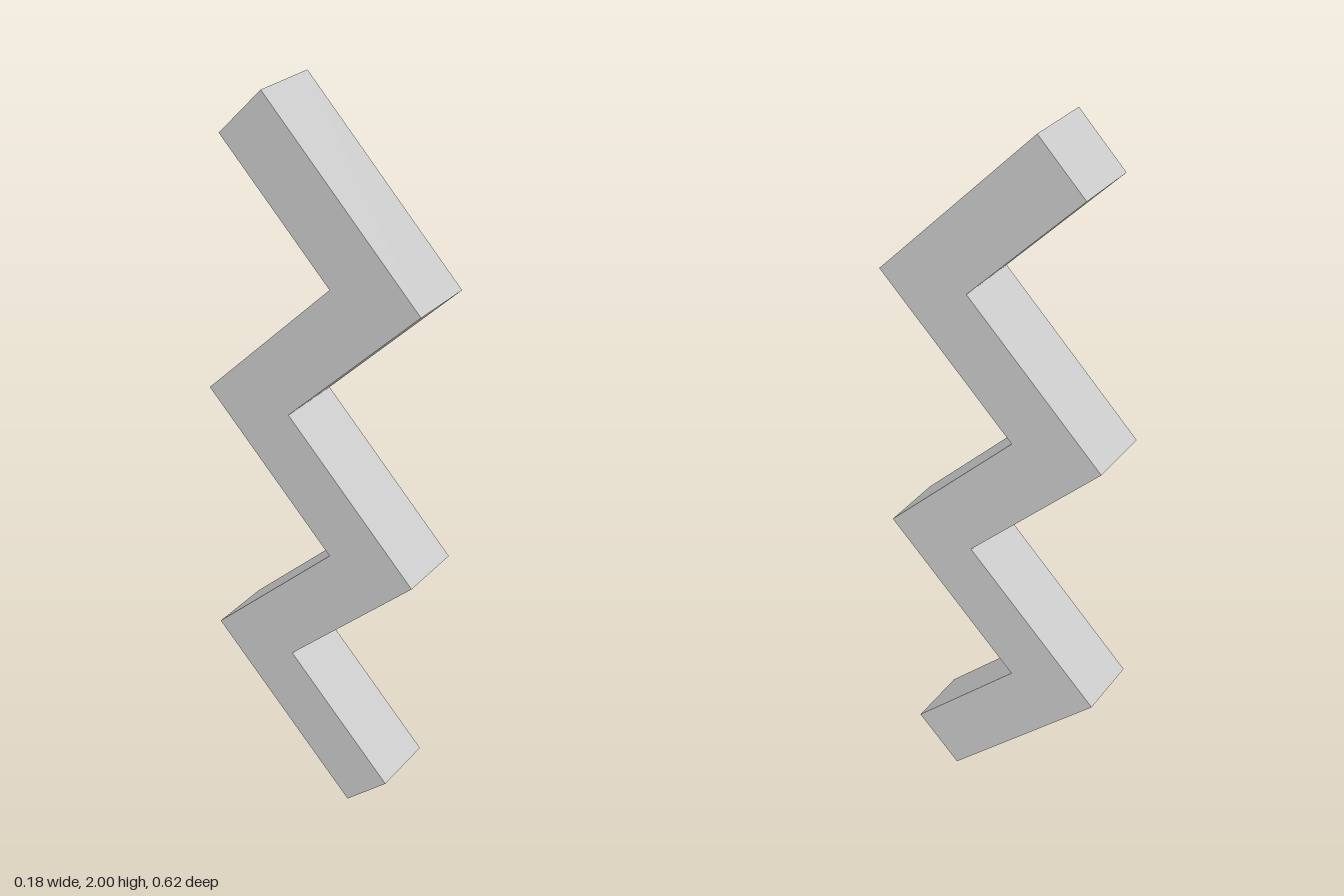
import * as THREE from 'three';

// Zigzag bar of square section, laid out on a 1/16 unit lattice.
const U = 1 / 16;
const WIDTH = 2 * Math.SQRT2 * U;

export function createModel() {
  const group = new THREE.Group();
  group.name = 'zigzag';

  // Side outline as (z, y): the back edge going up, then its half-turn for the front edge.
  const back = [[2, 0], [-5, 7], [1, 13], [-5, 19], [1, 25], [-4, 30]];
  const front = back.map(([z, y]) => [-z, 32 - y]);
  const outline = [...back, ...front].map(([z, y]) => new THREE.Vector2(z * U, y * U));

  const geometry = new THREE.ExtrudeGeometry(new THREE.Shape(outline), {
    depth: WIDTH,
    bevelEnabled: false,
  });
  geometry.translate(0, 0, -WIDTH / 2);
  geometry.rotateY(-Math.PI / 2); // outline's horizontal axis becomes +z

  const bar = new THREE.Mesh(
    geometry,
    new THREE.MeshStandardMaterial({ color: 0xcccccc, flatShading: true }),
  );
  bar.name = 'zigzagBar';
  group.add(bar);
  return group;
}
